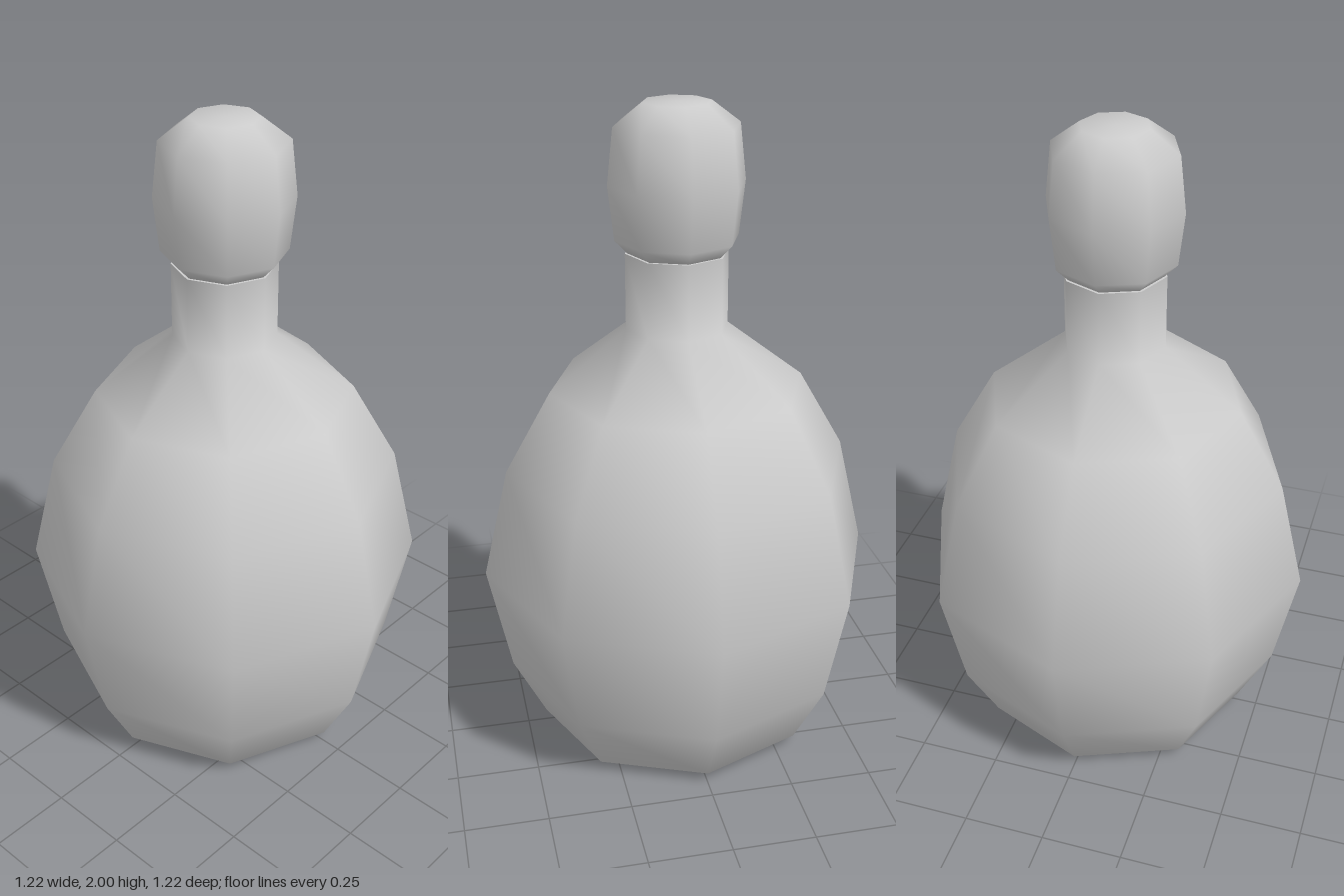
import * as THREE from 'three';

const SIDES = 8;

// Smooth-shaded eight-sided turning from [radius, height] pairs, bottom to top
function turned(name, profile, material) {
  const points = profile.map(([r, y]) => new THREE.Vector2(r, y));
  const mesh = new THREE.Mesh(new THREE.LatheGeometry(points, SIDES), material);
  mesh.name = name;
  return mesh;
}

export function createModel() {
  const group = new THREE.Group();
  group.name = 'bottle';
  const material = new THREE.MeshStandardMaterial({ color: 0xcccccc });

  // Rounded belly, sloping shoulder and straight neck
  group.add(turned('body', [
    [0, 0], [0.38, 0.005], [0.44, 0.035], [0.54, 0.23], [0.61, 0.57],
    [0.53, 0.91], [0.39, 1.155], [0.155, 1.34], [0.155, 1.57],
  ], material));

  // Flat top of the neck, kept separate for a sharp edge
  group.add(turned('neckTop', [[0.155, 1.57], [0, 1.57]], material));

  // Faceted stopper
  group.add(turned('stopper', [
    [0, 1.565], [0.145, 1.568], [0.185, 1.61], [0.203, 1.77],
    [0.185, 1.935], [0.1, 2], [0, 2],
  ], material));

  return group;
}
